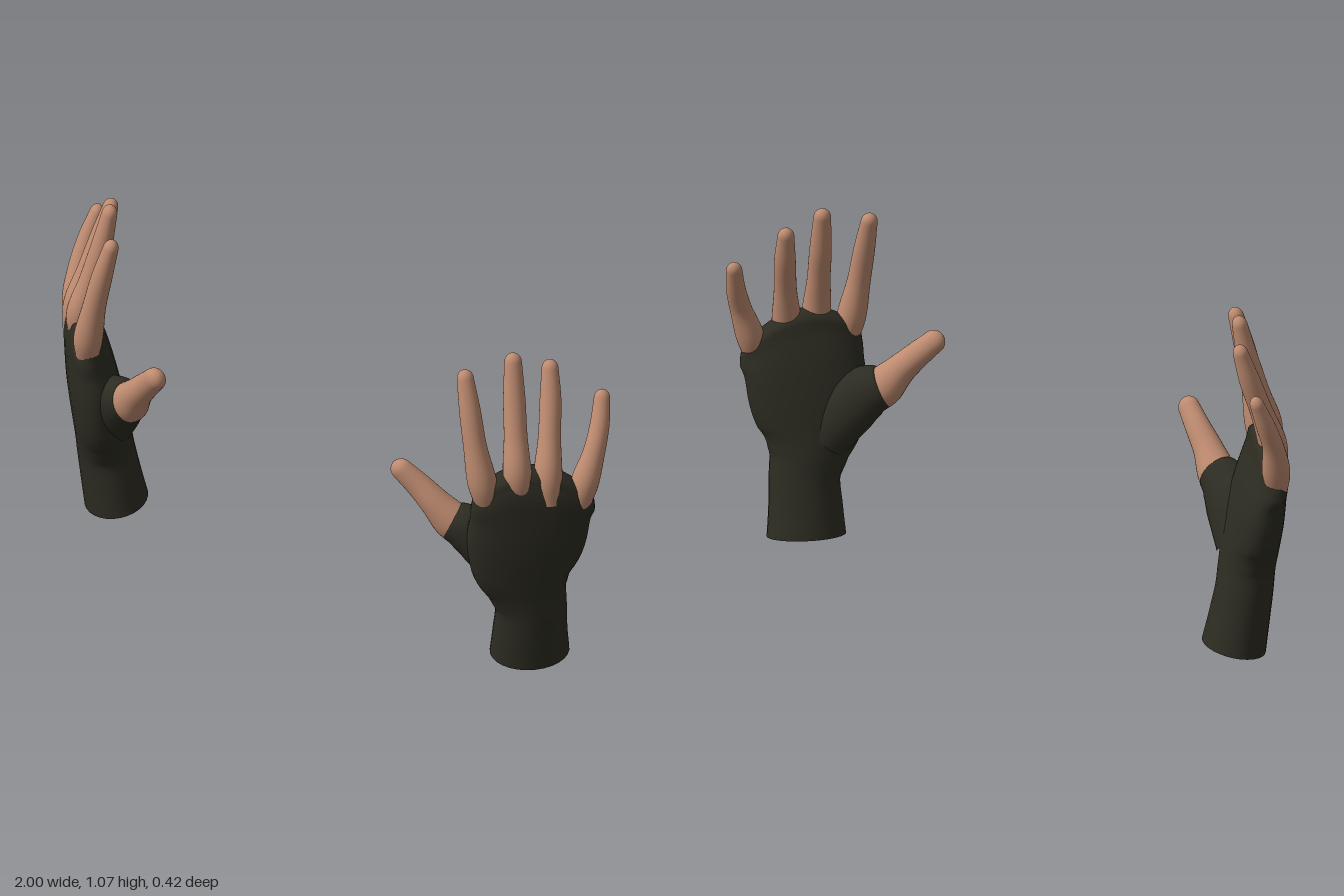
import * as THREE from 'three';

const V = (x, y, z) => new THREE.Vector3(x, y, z);
const SEG = 28; // points round each cross-section

const ANGLE = THREE.MathUtils.degToRad(47); // turn of the palm about y
const ACROSS = V(Math.cos(ANGLE), 0, -Math.sin(ANGLE)); // index side to little-finger side
const THUMB_ACROSS = V(0.74, 0.66, 0);

// Sweeps a rounded section through stations [x, y, z, halfWidth, halfDepth, squareness].
// The far end is domed; flatStart closes the near end with a sharp-edged disc.
function sweep(stations, across, side, { steps = 28, dome = 0.03, flatStart = false, warp } = {}) {
  const path = new THREE.CatmullRomCurve3(stations.map(s => V(s[0], s[1], s[2])), false, 'catmullrom');
  const size = new THREE.CatmullRomCurve3(stations.map(s => V(s[3], s[4], s[5] ?? 1)), false, 'catmullrom');
  const pos = [], index = [];

  const ring = (t, scale, push) => {
    const c = path.getPoint(t), r = size.getPoint(t), T = path.getTangent(t);
    const W = across.clone().addScaledVector(T, -across.dot(T)).normalize();
    const B = V(0, 0, 0).crossVectors(T, W);
    const soft = v => Math.sign(v) * Math.abs(v) ** r.z;
    for (let j = 0; j < SEG; j++) {
      const a = (j / SEG) * Math.PI * 2;
      const p = c.clone().addScaledVector(T, push)
        .addScaledVector(W, r.x * scale * soft(Math.cos(a)))
        .addScaledVector(B, r.y * scale * soft(Math.sin(a)));
      if (warp) warp(p);
      pos.push(p.x * side, p.y, p.z);
    }
  };

  if (flatStart) { ring(0, 0, 0); ring(0, 1, 0); }
  for (let i = 0; i <= steps; i++) ring(i / steps, 1, 0);
  for (let k = 1; k <= 7; k++) {
    const a = (k / 7) * Math.PI / 2;
    ring(1, k === 7 ? 0 : Math.cos(a), dome * Math.sin(a));
  }

  const rows = pos.length / 3 / SEG;
  for (let i = 0; i < rows - 1; i++) {
    if (flatStart && i === 1) continue; // hard edge at the rim
    for (let j = 0; j < SEG; j++) {
      const n = (j + 1) % SEG;
      const p = i * SEG + j, q = i * SEG + n, r = q + SEG, s = p + SEG;
      if (side > 0) index.push(p, q, r, p, r, s);
      else index.push(p, r, q, p, s, r);
    }
  }
  const g = new THREE.BufferGeometry();
  g.setAttribute('position', new THREE.Float32BufferAttribute(pos, 3));
  g.setIndex(index);
  g.computeVertexNormals();
  return g;
}

// Forearm, wrist and palm of the glove
const PALM = [
  [0.778, 0.02, -0.048, 0.122, 0.098],
  [0.788, 0.10, -0.037, 0.115, 0.093],
  [0.800, 0.20, -0.025, 0.110, 0.088],
  [0.798, 0.27, -0.008, 0.125, 0.086],
  [0.800, 0.35, 0.010, 0.162, 0.084, 0.95],
  [0.815, 0.45, 0.018, 0.185, 0.080, 0.9],
  [0.832, 0.55, 0.022, 0.188, 0.070, 0.85],
  [0.845, 0.63, 0.027, 0.192, 0.058, 0.8],
  [0.848, 0.685, 0.028, 0.188, 0.046, 0.8],
];

// The knuckle line falls away on both sides of the middle finger
function knuckleArc(p) {
  const u = (p.x - 0.845) * ACROSS.x + (p.z - 0.027) * ACROSS.z;
  p.y -= 2.2 * (u + 0.02) ** 2 * THREE.MathUtils.smoothstep(p.y, 0.48, 0.7);
}

// Ball of the thumb, covered by the glove
const THUMB_GLOVE = [
  [0.765, 0.32, 0.020, 0.085, 0.075],
  [0.705, 0.42, 0.065, 0.096, 0.076],
  [0.652, 0.468, 0.096, 0.083, 0.066],
  [0.610, 0.490, 0.115, 0.067, 0.058],
];
const THUMB = [
  [0.640, 0.460, 0.100, 0.055, 0.050],
  [0.607, 0.490, 0.116, 0.063, 0.055],
  [0.560, 0.548, 0.140, 0.048, 0.045],
  [0.512, 0.600, 0.158, 0.041, 0.037],
  [0.465, 0.648, 0.179, 0.036, 0.030],
];
const FINGERS = {
  indexFinger: [
    [0.757, 0.59, 0.130, 0.034, 0.030],
    [0.742, 0.68, 0.145, 0.045, 0.045],
    [0.717, 0.80, 0.148, 0.036, 0.036],
    [0.693, 0.91, 0.141, 0.033, 0.032],
    [0.668, 1.012, 0.131, 0.026, 0.024],
  ],
  middleFinger: [
    [0.830, 0.62, 0.060, 0.040, 0.036],
    [0.822, 0.71, 0.074, 0.044, 0.044],
    [0.800, 0.82, 0.053, 0.036, 0.036],
    [0.778, 0.93, 0.030, 0.034, 0.033],
    [0.760, 1.047, 0.012, 0.027, 0.024],
  ],
  ringFinger: [
    [0.893, 0.60, 0.010, 0.040, 0.036],
    [0.885, 0.69, 0.003, 0.044, 0.044],
    [0.867, 0.80, -0.029, 0.035, 0.035],
    [0.846, 0.91, -0.063, 0.033, 0.032],
    [0.828, 1.002, -0.085, 0.026, 0.024],
  ],
  littleFinger: [
    [0.948, 0.56, -0.065, 0.030, 0.028],
    [0.957, 0.645, -0.086, 0.043, 0.043],
    [0.968, 0.74, -0.119, 0.034, 0.033],
    [0.964, 0.82, -0.154, 0.030, 0.029],
    [0.952, 0.895, -0.182, 0.025, 0.022],
  ],
};

export function createModel() {
  const glove = new THREE.MeshStandardMaterial({ color: 0x2d2c22 });
  glove.name = 'dark olive glove';
  const skin = new THREE.MeshStandardMaterial({ color: 0xbe8b70 });
  skin.name = 'skin';

  const model = new THREE.Group();
  model.name = 'fingerlessGloveHands';

  for (const side of [1, -1]) {
    const hand = new THREE.Group();
    hand.name = side > 0 ? 'leftHand' : 'rightHand';
    const add = (name, geometry, material) => {
      const mesh = new THREE.Mesh(geometry, material);
      mesh.name = name;
      hand.add(mesh);
    };

    add('glovePalm', sweep(PALM, ACROSS, side, { steps: 48, dome: 0.035, flatStart: true, warp: knuckleArc }), glove);
    add('gloveThumbBase', sweep(THUMB_GLOVE, THUMB_ACROSS, side, { dome: 0.008 }), glove);
    add('thumb', sweep(THUMB, THUMB_ACROSS, side, { dome: 0.036 }), skin);
    for (const [name, stations] of Object.entries(FINGERS)) {
      add(name, sweep(stations, ACROSS, side), skin);
    }
    model.add(hand);
  }
  return model;
}
